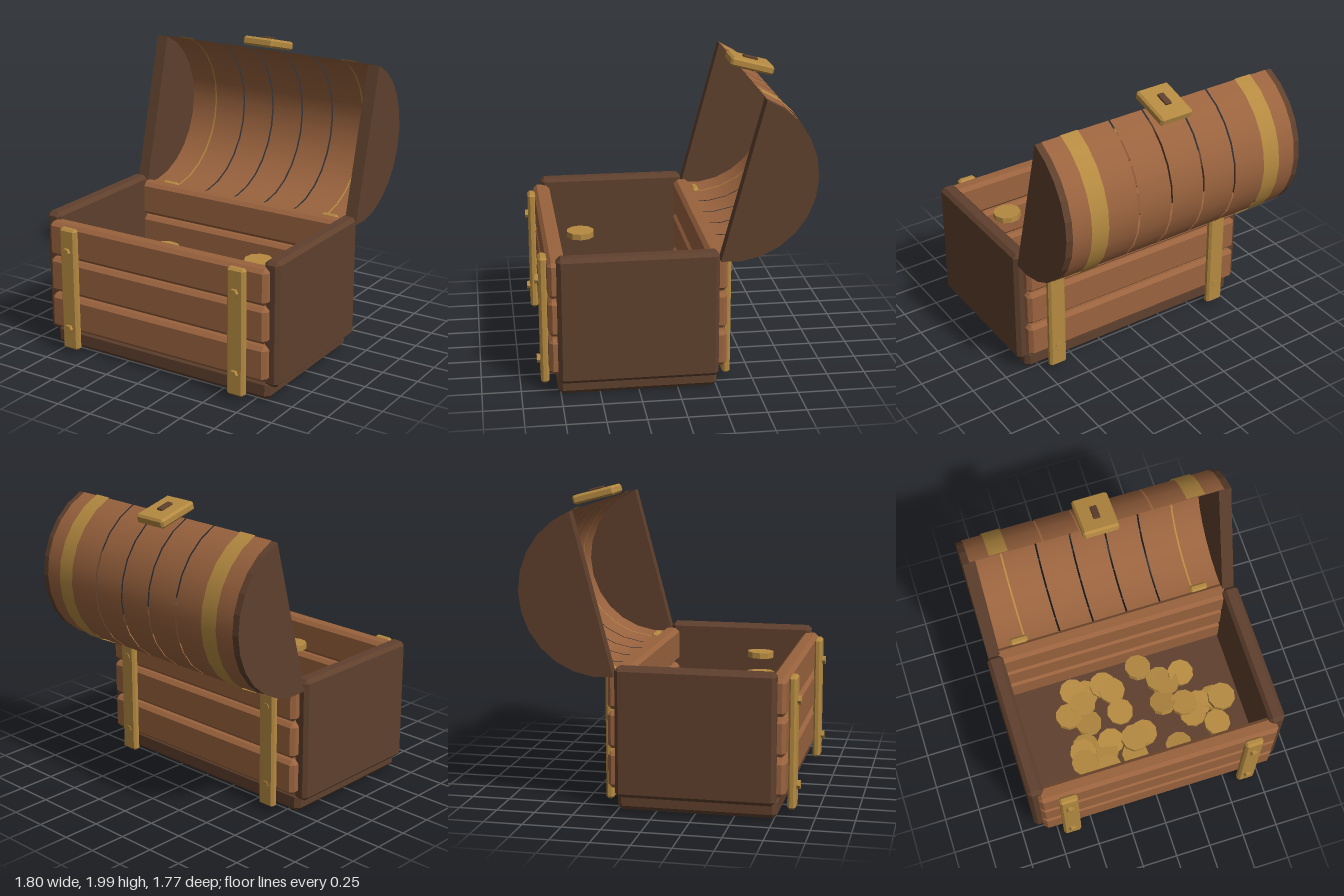
import * as THREE from 'three';
import { ConvexGeometry } from 'three/addons/geometries/ConvexGeometry.js';

const flat = (name, color) => {
  const m = new THREE.MeshStandardMaterial({ color });
  m.name = name;
  return m;
};

// Box with every edge chamfered by c
function chamferBox(w, h, d, c) {
  const pts = [];
  const [x, y, z] = [w / 2, h / 2, d / 2];
  for (const i of [-1, 1]) for (const j of [-1, 1]) for (const k of [-1, 1]) {
    pts.push(new THREE.Vector3(i * x, j * (y - c), k * (z - c)));
    pts.push(new THREE.Vector3(i * (x - c), j * y, k * (z - c)));
    pts.push(new THREE.Vector3(i * (x - c), j * (y - c), k * z));
  }
  return new ConvexGeometry(pts);
}

export function createModel() {
  const darkWood = flat('darkWood', 0x5f402d);
  const plankWood = flat('plankWood', 0x9a633e);
  plankWood.side = THREE.DoubleSide;
  const brass = flat('brass', 0xb58a41);
  brass.side = THREE.DoubleSide;

  const root = new THREE.Group();
  root.name = 'treasureChest';
  const add = (parent, name, geo, mat, x = 0, y = 0, z = 0) => {
    const m = new THREE.Mesh(geo, mat);
    m.name = name;
    m.position.set(x, y, z);
    parent.add(m);
    return m;
  };
  // Chamfered box given by its limits on each axis
  const slab = (name, mat, [x0, x1], [y0, y1], [z0, z1], c) =>
    add(root, name, chamferBox(x1 - x0, y1 - y0, z1 - z0, c), mat,
      (x0 + x1) / 2, (y0 + y1) / 2, (z0 + z1) / 2);

  // Base and end panels
  slab('base', darkWood, [-0.84, 0.84], [0, 0.135], [-0.255, 0.77], 0.03);
  slab('leftPanel', darkWood, [0.79, 0.9], [0.097, 0.935], [-0.255, 0.765], 0.025);
  slab('rightPanel', darkWood, [-0.9, -0.79], [0.097, 0.935], [-0.255, 0.765], 0.025);

  // Front and back planks
  for (const [y0, y1] of [[0.14, 0.378], [0.397, 0.638], [0.652, 0.89]]) {
    slab('frontPlank', plankWood, [-0.84, 0.84], [y0, y1], [0.705, 0.82], 0.025);
    slab('backPlank', plankWood, [-0.84, 0.84], [y0, y1], [-0.315, -0.2], 0.025);
  }

  // Brass straps with hexagonal bolts
  const boltGeo = new THREE.CylinderGeometry(0.029, 0.029, 0.04, 6).toNonIndexed();
  boltGeo.computeVertexNormals();
  boltGeo.rotateY(Math.PI / 2).rotateX(Math.PI / 2);
  for (const s of [-1, 1]) {
    const xr = [s * 0.65 - 0.063, s * 0.65 + 0.063];
    slab('frontStrap', brass, xr, [0.03, 0.885], [0.815, 0.869], 0.015);
    slab('backStrap', brass, xr, [0.03, 0.885], [-0.36, -0.308], 0.015);
    for (const y of [0.182, 0.727]) {
      add(root, 'frontBolt', boltGeo, brass, s * 0.65, y, 0.871);
      add(root, 'backBolt', boltGeo, brass, s * 0.65, y, -0.345);
    }
  }

  // Open lid, an arc about a centre behind the chest
  const lid = new THREE.Group();
  lid.name = 'lid';
  lid.position.set(0, 1.399, -0.333);
  root.add(lid);
  const TILT = 0.258, HALF = 1.45, SEG = 12;
  const start = Math.PI + TILT - HALF;
  const arc = (name, mat, x0, x1, r) => {
    const g = new THREE.CylinderGeometry(r, r, x1 - x0, SEG, 1, true, start, 2 * HALF);
    g.rotateZ(Math.PI / 2);
    add(lid, name, g, mat, (x0 + x1) / 2);
  };
  const cuts = [-0.846, -0.606, -0.363, -0.121, 0.121, 0.363, 0.606, 0.846];
  for (let i = 0; i < 7; i++) arc('lidPlank', plankWood, cuts[i] + 0.006, cuts[i + 1] - 0.006, 0.538);
  for (const s of [-1, 1]) arc('lidBand', brass, s * 0.65 - 0.061, s * 0.65 + 0.061, 0.546);

  // Lid end caps
  const outline = [];
  for (let i = 0; i <= SEG; i++) {
    const a = start + (2 * HALF * i) / SEG;
    outline.push(new THREE.Vector2(-0.534 * Math.cos(a), 0.534 * Math.sin(a)));
  }
  const capGeo = new THREE.ExtrudeGeometry(new THREE.Shape(outline), { depth: 0.083, bevelEnabled: false });
  capGeo.rotateY(Math.PI / 2);
  add(lid, 'leftLidCap', capGeo, darkWood, 0.802);
  add(lid, 'rightLidCap', capGeo, darkWood, -0.885);

  // Lock plate with keyhole
  const lock = new THREE.Group();
  lock.name = 'lock';
  lock.position.set(0, 1.93, -0.592);
  lock.rotation.x = -TILT;
  root.add(lock);
  add(lock, 'lockPlate', chamferBox(0.236, 0.062, 0.295, 0.014), brass);
  add(lock, 'keyhole', chamferBox(0.045, 0.03, 0.1, 0.004), darkWood, 0, 0.03, 0.005);

  // Loose coins: x, z and, for those on a stack, y
  const coins = [
    [-0.28, -0.02], [-0.37, -0.05], [-0.33, 0.06], [-0.45, 0.12], [-0.33, 0.21], [-0.15, -0.03],
    [-0.1, 0.03], [-0.09, 0.2], [0.13, -0.08], [0.25, 0.05], [0.41, 0.05], [0.29, 0.09],
    [0.22, 0.23], [0.46, 0.31], [0.57, 0.3], [0.4, 0.37], [0.36, 0.28], [0.54, 0.49],
    [0.02, 0.41], [-0.28, 0.46], [-0.22, 0.4], [-0.4, 0.38], [-0.44, 0.5], [-0.43, 0.42],
    [-0.29, 0.59], [-0.09, 0.55], [0.23, 0.57], [0.56, 0.44, 0.77], [-0.09, 0.54, 0.76],
  ];
  let seed = 7;
  const rand = () => (seed = (seed * 16807) % 2147483647) / 2147483647;
  const coinGeo = new THREE.CylinderGeometry(0.094, 0.094, 0.04, 10).toNonIndexed();
  coinGeo.computeVertexNormals();
  coins.forEach(([x, z, y], i) => {
    const c = add(root, 'coin', coinGeo, brass, x, y ?? 0.27 + 0.003 * i + 0.03 * rand(), z);
    const t = y ? 0.1 : 0.45;
    c.rotation.set((rand() - 0.5) * t, rand() * 6, (rand() - 0.5) * t);
  });
  return root;
}
